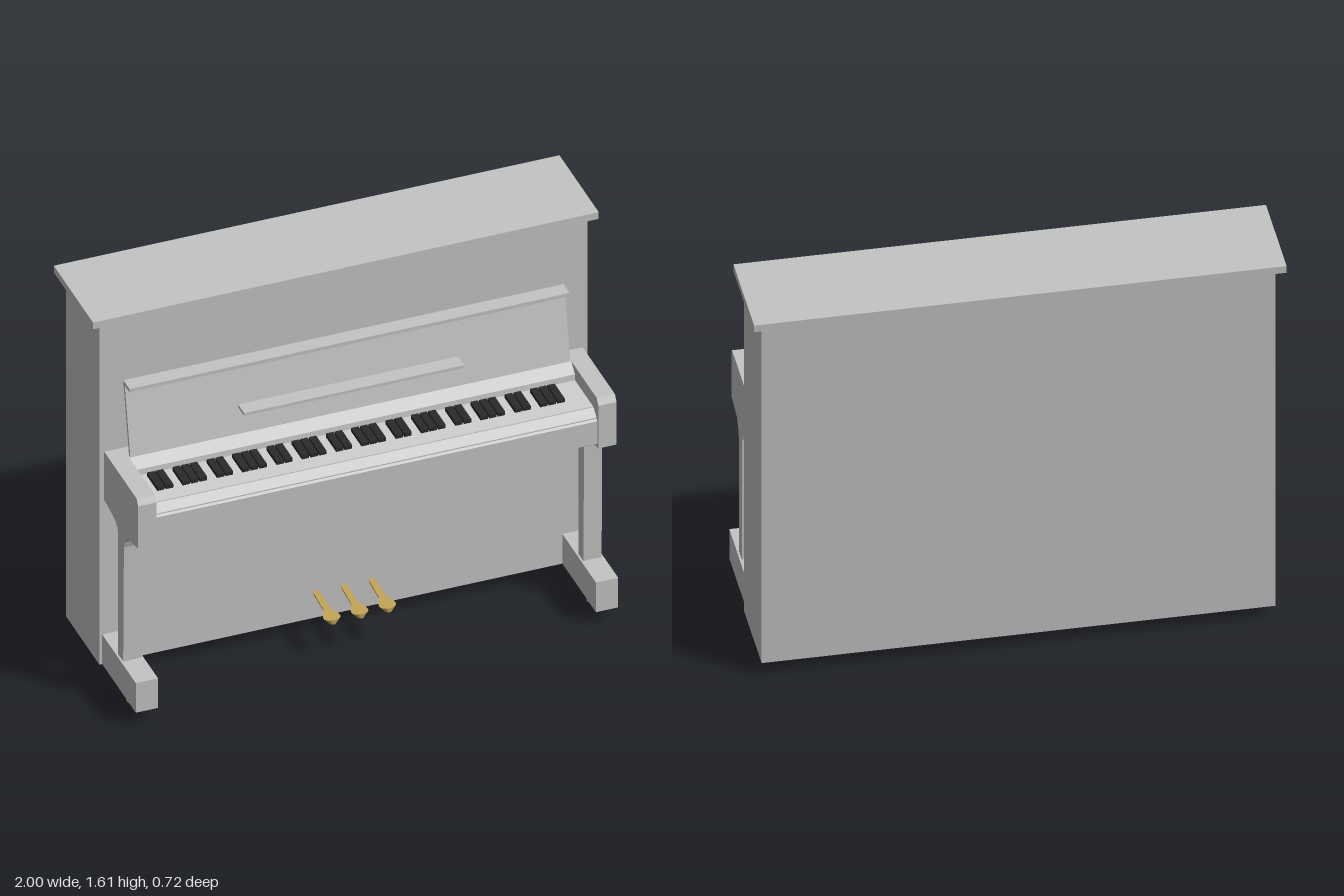
import * as THREE from 'three';

export function createModel() {
  const mat = (name, color) => Object.assign(new THREE.MeshStandardMaterial({ color }), { name });
  const grey = mat('casework grey', 0xc4c4c4);
  const light = mat('key grey', 0xd0d0d0);
  const black = mat('key black', 0x2a2a2a);
  const brass = mat('brass', 0xc2a455);
  const root = new THREE.Group();
  root.name = 'uprightPiano';

  const add = (name, geometry, material, parent = root) => {
    const mesh = new THREE.Mesh(geometry, material);
    mesh.name = name;
    parent.add(mesh);
    return mesh;
  };
  // Box given by its limits on each axis
  const box = (name, x0, x1, y0, y1, z0, z1, material = grey, parent = root) => {
    const mesh = add(name, new THREE.BoxGeometry(x1 - x0, y1 - y0, z1 - z0), material, parent);
    mesh.position.set((x0 + x1) / 2, (y0 + y1) / 2, (z0 + z1) / 2);
    return mesh;
  };
  // Side profile of [z, y] points, extruded between x0 and x1
  const profile = (name, points, x0, x1, material = grey) => {
    const shape = new THREE.Shape(points.map(([z, y]) => new THREE.Vector2(-z, y)));
    const geo = new THREE.ExtrudeGeometry(shape, { depth: x1 - x0, bevelEnabled: false });
    geo.rotateY(Math.PI / 2);
    geo.translate(x0, 0, 0);
    return add(name, geo, material);
  };

  // Cabinet and lid
  box('cabinet', -0.965, 0.965, 0.055, 1.575, -0.325, 0.015);
  box('lid', -1, 1, 1.575, 1.605, -0.36, 0.04);

  // Sloping music desk with its top rail and book ledge
  profile('musicDesk', [[0.072, 1.0], [0.085, 1.0], [0.028, 1.287], [0.015, 1.287]], -0.87, 0.87);
  box('deskRail', -0.87, 0.87, 1.285, 1.3, 0.013, 0.077);
  box('bookLedge', -0.435, 0.435, 1.103, 1.115, 0.06, 0.124);

  // Key bed with rounded key slip, and the fallboard behind the keys
  profile('keyBed', [
    [0.013, 0.8], [0.35, 0.8], [0.35, 0.9], [0.343, 0.907], [0.343, 0.912],
    [0.312, 0.938], [0.013, 0.938],
  ], -0.875, 0.875);
  profile('fallboard', [[0.013, 0.936], [0.126, 0.936], [0.122, 0.965], [0.085, 1.0], [0.013, 1.0]], -0.875, 0.875);
  box('whiteKeys', -0.873, 0.873, 0.93, 0.941, 0.1, 0.31, light);

  // Black keys: a pair and a triple in each of seven octaves
  const keys = new THREE.Group();
  keys.name = 'blackKeys';
  root.add(keys);
  const offsets = [0, 0.034, 0.1, 0.134, 0.168];
  for (let octave = 0; octave < 7; octave++) {
    for (const offset of offsets) {
      const x = -0.825 + octave * 0.2357 + offset;
      box('blackKey', x, x + 0.029, 0.935, 0.957, 0.14, 0.245, black, keys);
    }
  }

  // Arms with legs in one profile, toe blocks and brass feet
  const armProfile = [
    [0.013, 1.0], [0.013, 0.785], [0.11, 0.77], [0.135, 0.76], [0.15, 0.745], [0.157, 0.725],
    [0.157, 0.18], [0.208, 0.18], [0.215, 0.7], [0.225, 0.73], [0.25, 0.765], [0.36, 0.785],
    [0.36, 0.975], [0.345, 1.0],
  ];
  for (const side of [-1, 1]) {
    const x = side * 0.91;
    profile('armAndLeg', armProfile, x - 0.036, x + 0.036);
    box('toeBlock', x - 0.044, x + 0.044, 0.055, 0.187, 0.013, 0.357);
    const foot = add('foot', new THREE.CylinderGeometry(0.02, 0.02, 0.06, 20), brass);
    foot.position.set(x, 0.03, 0.2);
  }

  // Pedals: narrow stem widening to a rounded paddle, tapered underneath
  const outline = new THREE.Shape();
  outline.moveTo(-0.012, 0);
  outline.lineTo(0.012, 0);
  outline.lineTo(0.014, 0.12);
  outline.bezierCurveTo(0.018, 0.14, 0.033, 0.15, 0.033, 0.172);
  outline.bezierCurveTo(0.033, 0.2, -0.033, 0.2, -0.033, 0.172);
  outline.bezierCurveTo(-0.033, 0.15, -0.018, 0.14, -0.014, 0.12);
  outline.closePath();
  const pedalGeo = new THREE.ExtrudeGeometry(outline, { depth: 0.02, bevelEnabled: false, curveSegments: 10 });
  pedalGeo.rotateX(Math.PI / 2);
  const p = pedalGeo.attributes.position;
  for (let i = 0; i < p.count; i++) {
    if (p.getY(i) < -0.01) p.setX(i, p.getX(i) * 0.5);
  }
  pedalGeo.computeVertexNormals();
  for (const x of [-0.11, 0, 0.11]) {
    const pedal = add('pedal', pedalGeo, brass);
    pedal.position.set(x, 0.175, 0.01);
    pedal.rotation.x = 0.07;
  }

  return root;
}
